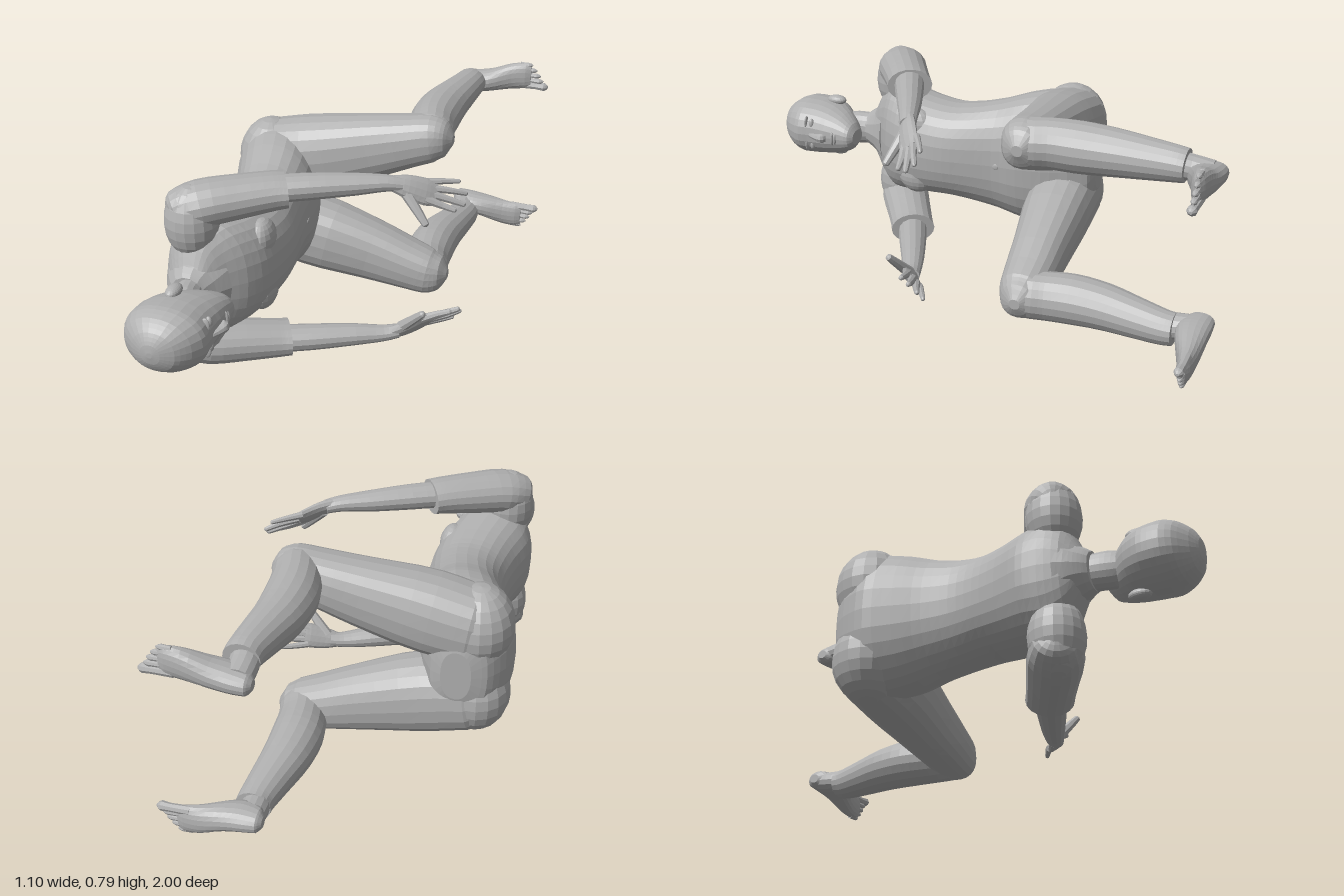
import * as THREE from 'three';

const MID = 0.397; // height of the body's plane of symmetry
const grey = new THREE.MeshStandardMaterial({ color: 0xb0b0b0, flatShading: true });
grey.name = 'grey';

// Closed loft through rings [x, y, z, radius across, radius along up]; round below 1 makes rings boxier
function limb(name, pts, { sides = 18, steps = 3, up = [0, 1, 0], axis = null, round = 1 } = {}) {
  const path = new THREE.CatmullRomCurve3(pts.map(p => new THREE.Vector3(p[0], p[1], p[2])));
  const size = new THREE.CatmullRomCurve3(pts.map(p => new THREE.Vector3(p[3], p[4], 0)));
  const bend = w => Math.sign(w) * Math.abs(w) ** round;
  const n = (pts.length - 1) * steps;
  const pos = [], idx = [];
  for (let i = 0; i <= n; i++) {
    const c = path.getPoint(i / n), r = size.getPoint(i / n);
    const t = axis ? new THREE.Vector3(...axis) : path.getTangent(i / n);
    const v = new THREE.Vector3(...up);
    v.addScaledVector(t, -v.dot(t)).normalize();
    const u = v.clone().cross(t);
    for (let j = 0; j < sides; j++) {
      const a = j / sides * Math.PI * 2;
      const p = c.clone().addScaledVector(u, r.x * bend(Math.cos(a))).addScaledVector(v, r.y * bend(Math.sin(a)));
      pos.push(p.x, p.y, p.z);
    }
  }
  for (let i = 0; i < n; i++) {
    for (let j = 0; j < sides; j++) {
      const a = i * sides + j, b = i * sides + (j + 1) % sides;
      idx.push(a, b, a + sides, b, b + sides, a + sides);
    }
  }
  // End caps
  const first = path.getPoint(0), last = path.getPoint(1), k = pos.length / 3;
  pos.push(first.x, first.y, first.z, last.x, last.y, last.z);
  for (let j = 0; j < sides; j++) {
    const m = (j + 1) % sides;
    idx.push(k, m, j, k + 1, n * sides + j, n * sides + m);
  }
  const g = new THREE.BufferGeometry();
  g.setAttribute('position', new THREE.Float32BufferAttribute(pos, 3));
  g.setIndex(idx);
  g.computeVertexNormals();
  const mesh = new THREE.Mesh(g, grey);
  mesh.name = name;
  return mesh;
}

// Upright body section from rows [z, back x, front x, half width]
const body = (name, rows, sides, round) => limb(name,
  rows.map(([z, b, f, w]) => [(b + f) / 2, MID, z, (f - b) / 2, w]), { sides, round, axis: [0, 0, 1] });

function blob(name, x, y, z, rx, ry, rz) {
  const mesh = new THREE.Mesh(new THREE.SphereGeometry(1, 18, 12), grey);
  mesh.name = name;
  mesh.position.set(x, y, z);
  mesh.scale.set(rx, ry, rz);
  return mesh;
}

export function createModel() {
  const model = new THREE.Group();
  model.name = 'seatedFigure';

  // Torso from seat to shoulders
  model.add(body('torso', [
    [-0.39, -0.42, -0.31, 0.1], [-0.37, -0.475, -0.27, 0.19], [-0.3, -0.53, -0.23, 0.262],
    [-0.2, -0.55, -0.195, 0.28], [-0.1, -0.517, -0.178, 0.263], [0, -0.48, -0.175, 0.23],
    [0.1, -0.46, -0.16, 0.207], [0.2, -0.465, -0.145, 0.195], [0.3, -0.485, -0.147, 0.202],
    [0.4, -0.515, -0.165, 0.215], [0.48, -0.515, -0.21, 0.225], [0.55, -0.49, -0.28, 0.18],
    [0.59, -0.46, -0.31, 0.1], [0.605, -0.44, -0.32, 0.07]], 28, 0.86));

  // Neck and collar
  model.add(body('neck', [[0.52, -0.45, -0.28, 0.1], [0.58, -0.425, -0.305, 0.078],
    [0.63, -0.42, -0.31, 0.068], [0.68, -0.41, -0.3, 0.07], [0.74, -0.39, -0.27, 0.06]], 18));
  model.add(body('collar', [[0.53, -0.505, -0.25, 0.16], [0.58, -0.48, -0.285, 0.105],
    [0.615, -0.455, -0.305, 0.082], [0.63, -0.44, -0.31, 0.072]], 14));

  // Head
  model.add(body('head', [
    [0.632, -0.29, -0.205, 0.03], [0.65, -0.315, -0.187, 0.055], [0.7, -0.38, -0.183, 0.083],
    [0.76, -0.443, -0.182, 0.103], [0.82, -0.472, -0.183, 0.114], [0.88, -0.477, -0.18, 0.117],
    [0.935, -0.455, -0.208, 0.103], [0.975, -0.405, -0.25, 0.073], [0.994, -0.365, -0.295, 0.037],
    [0.999, -0.34, -0.32, 0.01]], 26, 0.9));
  model.add(limb('nose', [[-0.19, MID, 0.825, 0.01, 0.01], [-0.178, MID, 0.79, 0.016, 0.013],
    [-0.171, MID, 0.762, 0.017, 0.02], [-0.182, MID, 0.748, 0.01, 0.016]], { sides: 8 }));
  model.add(blob('upperLip', -0.188, MID, 0.719, 0.012, 0.03, 0.008));
  model.add(blob('lowerLip', -0.189, MID, 0.706, 0.012, 0.025, 0.008));
  model.add(blob('navel', -0.174, MID, -0.02, 0.003, 0.012, 0.012));

  for (const [side, s] of [['left', 1], ['right', -1]]) {
    const group = new THREE.Group();
    group.name = side + 'Side';
    model.add(group);
    // Second entry of each point is the distance out from the midline
    const part = (name, pts, opt) => group.add(limb(name, pts.map(([x, o, ...r]) => [x, MID + s * o, ...r]), opt));
    const ball = (name, x, o, ...r) => group.add(blob(name, x, MID + s * o, ...r));

    // Face and chest details
    ball('eye', -0.2, 0.047, 0.82, 0.013, 0.022, 0.011);
    ball('brow', -0.201, 0.047, 0.845, 0.017, 0.03, 0.007);
    ball('ear', -0.345, 0.113, 0.775, 0.026, 0.02, 0.042);
    ball('chest', -0.215, 0.105, 0.34, 0.052, 0.078, 0.08);
    ball('shoulder', -0.405, 0.225, 0.497, 0.1, 0.14, 0.1);
    ball('buttock', -0.42, 0.145, -0.255, 0.128, 0.155, 0.137);

    // Sleeve and forearm
    part('sleeve', [[-0.475, 0.25, 0.53, 0.03, 0.03], [-0.452, 0.262, 0.516, 0.075, 0.075],
      [-0.38, 0.287, 0.478, 0.098, 0.083], [-0.27, 0.3, 0.41, 0.092, 0.077],
      [-0.16, 0.31, 0.342, 0.087, 0.067], [-0.125, 0.311, 0.321, 0.088, 0.063]]);
    part('forearm', [[-0.2, 0.315, 0.36, 0.06, 0.05], [-0.05, 0.318, 0.287, 0.055, 0.048],
      [0.1, 0.318, 0.215, 0.045, 0.04], [0.2, 0.318, 0.17, 0.035, 0.03],
      [0.25, 0.31, 0.148, 0.03, 0.026]], { sides: 14 });

    // Hand with spread fingers
    part('palm', [[0.22, 0.317, 0.163, 0.022, 0.03], [0.27, 0.301, 0.141, 0.022, 0.044],
      [0.325, 0.277, 0.112, 0.018, 0.05], [0.36, 0.262, 0.092, 0.01, 0.042]],
    { sides: 12, up: [0, -0.75 * s, 0.66] });
    const fingers = [
      ['thumb', [0.26, 0.29, 0.15], [0.32, 0.225, 0.175], [0.355, 0.187, 0.19], 0.017],
      ['indexFinger', [0.33, 0.255, 0.125], [0.39, 0.23, 0.108], [0.435, 0.215, 0.1], 0.013],
      ['middleFinger', [0.34, 0.265, 0.1], [0.41, 0.24, 0.075], [0.457, 0.222, 0.06], 0.013],
      ['ringFinger', [0.34, 0.28, 0.085], [0.41, 0.265, 0.052], [0.455, 0.25, 0.027], 0.012],
      ['littleFinger', [0.325, 0.3, 0.08], [0.38, 0.296, 0.045], [0.425, 0.29, 0.018], 0.011]];
    for (const [name, a, b, c, r] of fingers) {
      const tip = c.map((v, i) => v + (v - b[i]) * 0.12);
      part(name, [[...a, r * 1.3, r * 1.3], [...b, r, r], [...c, r * 0.75, r * 0.75],
        [...tip, r * 0.2, r * 0.2]], { sides: 8, steps: 2 });
    }

    // Leg
    part('thigh', [[-0.49, 0.14, -0.268, 0.05, 0.05], [-0.465, 0.142, -0.27, 0.095, 0.105],
      [-0.4, 0.149, -0.266, 0.127, 0.14], [-0.25, 0.175, -0.263, 0.132, 0.15],
      [0, 0.235, -0.281, 0.109, 0.126], [0.15, 0.276, -0.29, 0.097, 0.104],
      [0.24, 0.298, -0.293, 0.085, 0.092], [0.29, 0.3, -0.295, 0.062, 0.068],
      [0.318, 0.3, -0.295, 0.02, 0.02]], { sides: 20, round: 0.86 });
    part('calf', [[0.21, 0.299, -0.23, 0.03, 0.03], [0.215, 0.299, -0.255, 0.065, 0.065],
      [0.222, 0.3, -0.31, 0.089, 0.09], [0.207, 0.302, -0.38, 0.091, 0.091],
      [0.196, 0.3, -0.48, 0.096, 0.092], [0.2, 0.302, -0.6, 0.09, 0.085],
      [0.22, 0.308, -0.72, 0.077, 0.074], [0.238, 0.313, -0.83, 0.066, 0.063],
      [0.239, 0.312, -0.867, 0.064, 0.058]]);
    part('ankle', [[0.235, 0.31, -0.82, 0.052, 0.05], [0.226, 0.303, -0.88, 0.05, 0.046],
      [0.226, 0.295, -0.95, 0.05, 0.043]], { sides: 14 });
    part('foot', [[0.172, 0.288, -0.957, 0.02, 0.018], [0.19, 0.288, -0.95, 0.048, 0.036],
      [0.25, 0.293, -0.938, 0.061, 0.043], [0.31, 0.303, -0.94, 0.055, 0.047],
      [0.4, 0.327, -0.951, 0.035, 0.056], [0.455, 0.333, -0.953, 0.023, 0.055],
      [0.478, 0.332, -0.953, 0.012, 0.046]], { axis: [1, 0, 0], round: 0.9 });
    for (let i = 0; i < 5; i++) {
      const o = 0.292 + i * 0.0225, end = [0.551, 0.53, 0.518, 0.502, 0.482][i], r = i ? 0.0125 - i * 0.0005 : 0.018;
      part('toe', [[0.43, o, -0.957, r, r], [end - 0.05, o, -0.957, r * 0.85, r * 0.85],
        [end - 0.016, o, -0.955, r, r], [end, o, -0.955, r * 0.3, r * 0.3]], { sides: 8, steps: 2 });
    }
  }
  return model;
}
